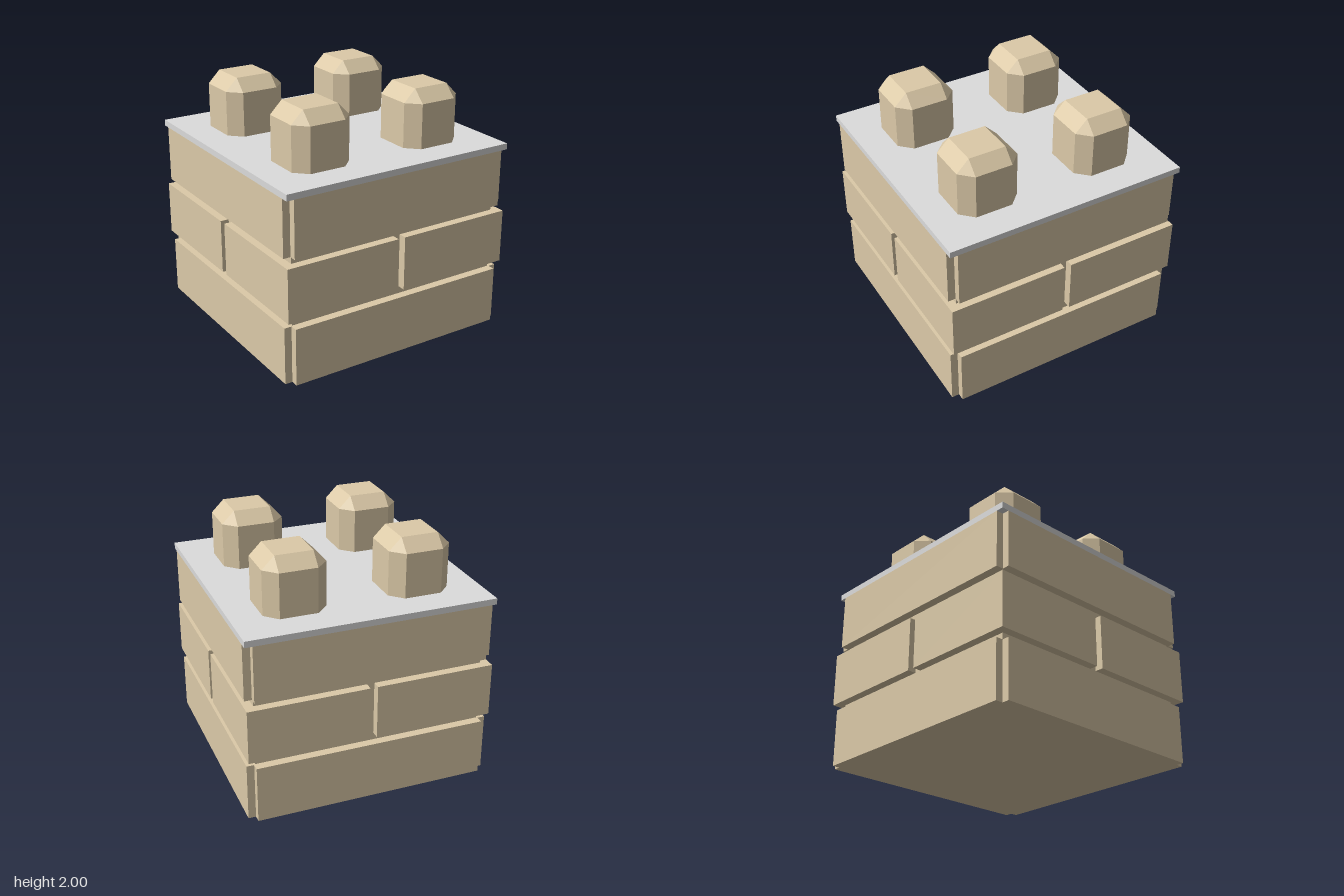
import * as THREE from 'three';
import { ConvexGeometry } from 'three/addons/geometries/ConvexGeometry.js';

export function createModel() {
  const group = new THREE.Group();
  const stone = new THREE.MeshStandardMaterial({ color: 0xdccaa8 });
  stone.name = 'sandstone';
  const grey = new THREE.MeshStandardMaterial({ color: 0xdcdcdc });
  grey.name = 'pale grey';

  const add = (name, geometry, material, parent = group) => {
    const mesh = new THREE.Mesh(geometry, material);
    mesh.name = name;
    parent.add(mesh);
    return mesh;
  };
  // Box given by its width, depth and vertical range
  const block = (name, w, d, y0, y1, material, x = 0, z = 0, parent = group) => {
    const mesh = add(name, new THREE.BoxGeometry(w, y1 - y0, d), material, parent);
    mesh.position.set(x, (y0 + y1) / 2, z);
    return mesh;
  };

  // Recessed mortar core and top slab
  block('core', 1.86, 1.86, 0, 1.49, stone);
  block('topSlab', 2, 2, 1.49, 1.54, grey);

  // Lower and upper courses: one long brick per side, open at the corners
  for (const [name, y0, y1] of [['lowerCourse', 0, 0.47], ['upperCourse', 1.03, 1.49]]) {
    const course = new THREE.Group();
    course.name = name;
    group.add(course);
    for (const s of [-1, 1]) {
      block('longBrick', 1.88, 0.07, y0, y1, stone, 0, s * 0.965, course);
      block('longBrick', 0.07, 1.88, y0, y1, stone, s * 0.965, 0, course);
    }
  }

  // Middle course: four corner bricks with a joint at the centre of each side
  for (const sx of [-1, 1]) {
    for (const sz of [-1, 1]) {
      block('cornerBrick', 0.97, 0.97, 0.53, 0.97, stone, sx * 0.515, sz * 0.515);
    }
  }

  // Chamfered stud: octagonal shaft tapering to a square top
  const points = [];
  for (const sx of [-1, 1]) {
    for (const sz of [-1, 1]) {
      for (const y of [1.54, 1.9]) {
        points.push(new THREE.Vector3(sx * 0.25, y, sz * 0.15));
        points.push(new THREE.Vector3(sx * 0.15, y, sz * 0.25));
      }
      points.push(new THREE.Vector3(sx * 0.15, 2, sz * 0.15));
    }
  }
  const studGeometry = new ConvexGeometry(points);
  for (const x of [-0.5, 0.5]) {
    for (const z of [-0.5, 0.5]) {
      add('stud', studGeometry, stone).position.set(x, 0, z);
    }
  }
  return group;
}
